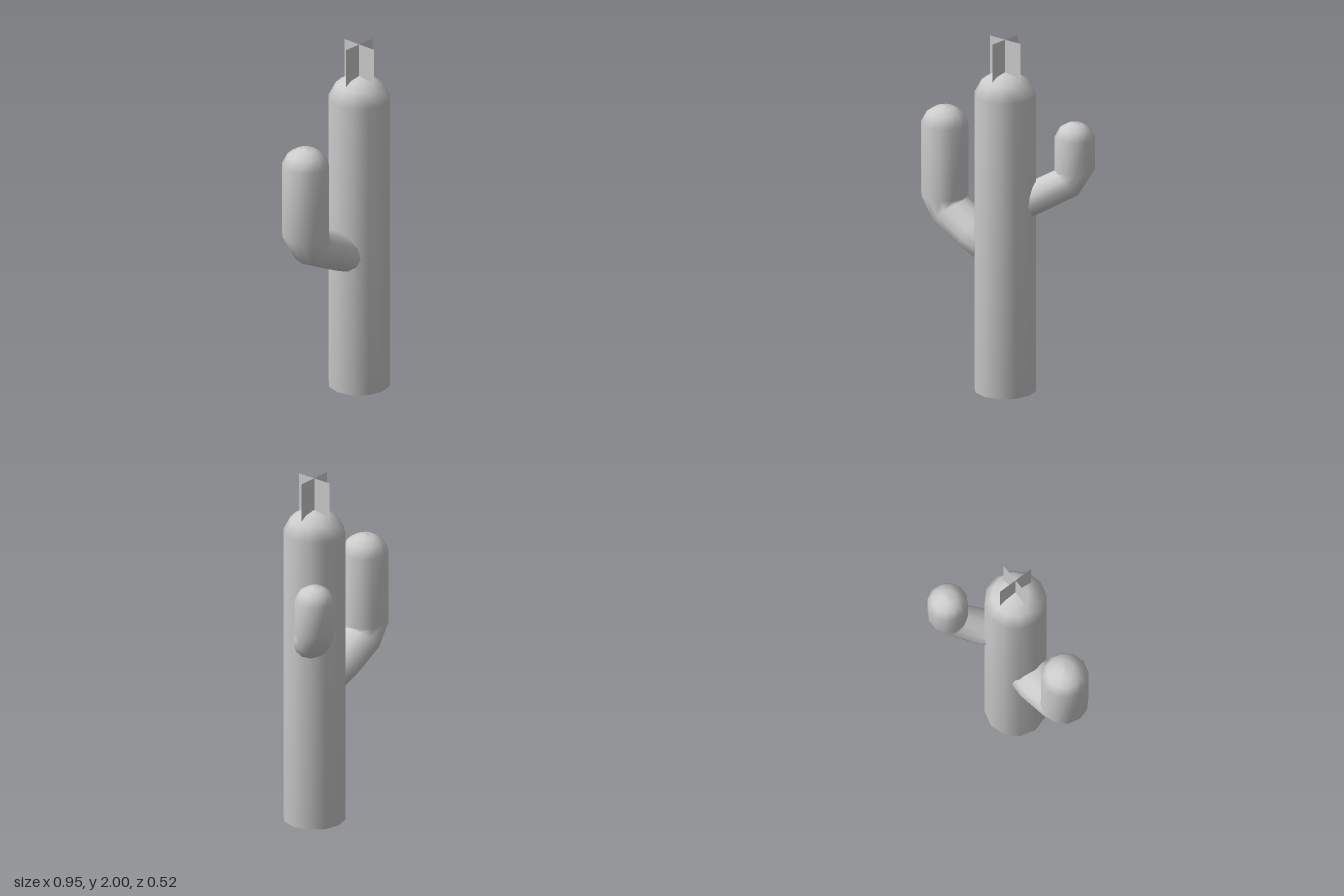
import * as THREE from 'three';

const SIDES = 12;
// Rounded cap, [radius, height] for a stem of radius 1
const DOME = [[1, 0], [0.76, 0.45], [0.41, 0.67], [0, 0.73]];
const CENTRE = [0.08, 0.09];

// Skins a closed loft through rings {d: outward, y, half: in-plane radius, side: z radius, tilt}
function loft(rings) {
  const pos = [], index = [];
  rings.forEach(({ d, y, half, side, tilt }, i) => {
    for (let j = 0; j < SIDES; j++) {
      const t = (j / SIDES) * Math.PI * 2;
      const u = Math.cos(t) * half;
      pos.push(d + u * Math.cos(tilt), y + u * Math.sin(tilt), Math.sin(t) * side);
      if (i === rings.length - 1) continue;
      const a = i * SIDES + j, b = i * SIDES + (j + 1) % SIDES;
      index.push(a, a + SIDES, b, b, a + SIDES, b + SIDES);
    }
  });
  const geo = new THREE.BufferGeometry();
  geo.setAttribute('position', new THREE.Float32BufferAttribute(pos, 3));
  geo.setIndex(index);
  geo.computeVertexNormals();
  return geo;
}

// Bent arm: rises from inside the trunk, turns at the elbow, ends in a dome
function makeArm(name, r, elbowY, capY, sideScale, material) {
  const bend = [
    [-3.0, -1.95, 0, 0, -65],
    [-2.77, -1.85, 0.75, 0.85, -65],
    [-1.69, -1.29, 0.81, 1, -65],
    [-0.38, -0.67, 0.85, 0.95, -45],
  ];
  const rings = bend.map(([d, y, half, side, deg]) => ({
    d: d * r, y: elbowY + y * r, half: half * r, side: side * r * sideScale,
    tilt: THREE.MathUtils.degToRad(deg),
  }));
  rings.push({ d: 0, y: elbowY, half: r, side: r, tilt: 0 });
  for (const [k, h] of DOME) {
    rings.push({ d: 0, y: capY + h * r, half: k * r, side: k * r, tilt: 0 });
  }
  const arm = new THREE.Mesh(loft(rings), material);
  arm.name = name;
  return arm;
}

export function createModel() {
  const model = new THREE.Group();
  model.name = 'cactus';
  const skin = new THREE.MeshStandardMaterial({ color: 0xcccccc });
  const petal = new THREE.MeshStandardMaterial({ color: 0xcccccc, side: THREE.DoubleSide });

  // Trunk with closed base and domed top
  const R = 0.17;
  const profile = [new THREE.Vector2(0, 0), new THREE.Vector2(R, 0)];
  for (const [k, h] of DOME) profile.push(new THREE.Vector2(k * R, 1.69 + h * R));
  const trunk = new THREE.Mesh(new THREE.LatheGeometry(profile, SIDES), skin);
  trunk.name = 'trunk';
  trunk.position.set(CENTRE[0], 0, CENTRE[1]);
  model.add(trunk);

  // Large arm on the right, small arm towards the back left
  const largeArm = makeArm('largeArm', 0.13, 1.02, 1.43, 1, skin);
  largeArm.position.set(-0.35, 0, CENTRE[1]);
  largeArm.rotation.y = Math.PI;
  const smallArm = makeArm('smallArm', 0.11, 1.26, 1.445, 0.9, skin);
  smallArm.position.set(0.368, 0, -0.15);
  smallArm.rotation.y = Math.PI / 4;
  model.add(largeArm, smallArm);

  // Flower of two crossed upright cards
  const flower = new THREE.Group();
  flower.name = 'flower';
  for (let i = 0; i < 2; i++) {
    const card = new THREE.Mesh(new THREE.PlaneGeometry(0.214, 0.22), petal);
    card.name = 'flowerCard';
    card.rotation.y = i * Math.PI / 2;
    flower.add(card);
  }
  flower.position.set(CENTRE[0], 1.89, CENTRE[1]);
  model.add(flower);

  return model;
}
